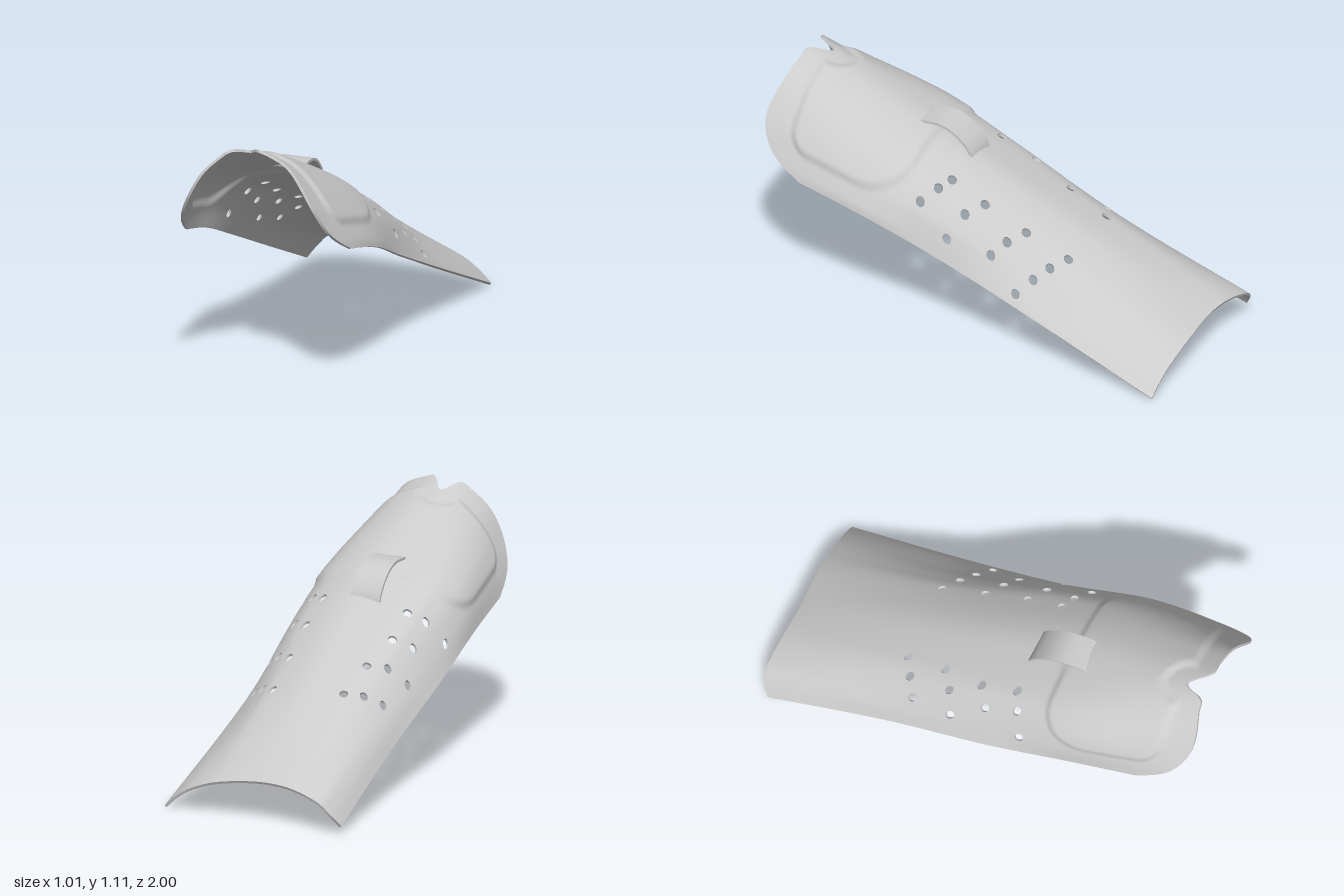
import * as THREE from 'three';
import { toCreasedNormals } from 'three/addons/utils/BufferGeometryUtils.js';

const NU = 96, NV = 190, THICK = 0.012, HOLE_R = 0.022;

// Arched cross-sections [x, y] of the outer face, from the back end to the front
const sections = [
  [-1, [[-.508, .015], [-.46, .09], [-.4, .145], [-.25, .183], [-.05, .18], [.12, .158], [.25, .11], [.33, .06], [.397, 0]]],
  [-.4, [[-.434, .24], [-.395, .32], [-.34, .385], [-.265, .443], [-.18, .472], [0, .49], [.17, .45], [.25, .4], [.32, .335], [.385, .27], [.413, .235]]],
  [.1, [[-.4, .435], [-.35, .54], [-.28, .64], [-.206, .695], [0, .742], [.12, .738], [.237, .7], [.312, .66], [.38, .585], [.412, .52], [.443, .432]]],
  [.5, [[-.35, .575], [-.33, .68], [-.27, .795], [-.15, .88], [.05, .925], [.2, .905], [.33, .84], [.43, .73], [.485, .63], [.497, .585]]],
  [1, [[-.275, .7], [-.245, .78], [-.2, .87], [-.12, 1.0], [0, 1.115], [.1, 1.135], [.2, 1.11], [.3, 1.05], [.41, .9], [.47, .78], [.505, .7]]],
].map(([z, pts]) => ({ z, curve: new THREE.SplineCurve(pts.map(p => new THREE.Vector2(...p))) }));
const stations = sections.map(s => s.z);

// Trim lines [across, z]: front rim with its notch and rounded corners, and back rim
const frontRim = [[0, .78], [.03, .87], [.07, .935], [.14, .985], [.2, 1], [.27, .995], [.36, .97], [.41, .955], [.46, .865],
  [.52, .95], [.57, .955], [.67, .97], [.8, 1], [.86, .995], [.93, .95], [.97, .88], [1, .78]];
const backRim = [[0, -.95], [.08, -.985], [.16, -1], [.45, -.985], [.7, -.993], [1, -.975]];

// Hole centres [x, z], seen from above
const holes = [
  [.17, -.41], [.25, -.36], [.317, -.32], [.39, -.27], [.206, -.215], [.285, -.167], [.355, -.12],
  [.233, -.02], [.317, .03], [.4, .075], [.238, .145], [.312, .175], [.38, .225],
  [-.19, -.4], [-.265, -.355], [-.34, -.31], [-.206, -.21], [-.28, -.16], [-.355, -.115],
  [-.22, -.02], [-.3, .03], [-.206, .14], [-.28, .18], [-.355, .225],
];

// Smooth interpolation through keys ks with values vs
function smooth(ks, vs, k) {
  const n = ks.length;
  let i = 0;
  while (i < n - 2 && k > ks[i + 1]) i++;
  const slope = j => {
    const a = Math.max(j - 1, 0), b = Math.min(j + 1, n - 1);
    return (vs[b] - vs[a]) / (ks[b] - ks[a]);
  };
  const h = ks[i + 1] - ks[i], t = (k - ks[i]) / h, t2 = t * t, t3 = t2 * t;
  return vs[i] * (2 * t3 - 3 * t2 + 1) + vs[i + 1] * (3 * t2 - 2 * t3)
    + h * (slope(i) * (t3 - 2 * t2 + t) + slope(i + 1) * (t3 - t2));
}
const column = (table, c) => table.map(r => r[c]);
const rimZ = (table, u) => smooth(column(table, 0), column(table, 1), u);

function surface(u, z) {
  const pts = sections.map(s => s.curve.getPointAt(THREE.MathUtils.clamp(u, 0, 1)));
  return new THREE.Vector3(smooth(stations, pts.map(p => p.x), z), smooth(stations, pts.map(p => p.y), z), z);
}

// Height of the raised front panel: a rounded rectangle with a bite under the notch
function panelHeight(u, z) {
  const r = z > .585 ? .1 : .24;
  const qx = Math.abs(u - .5) * 1.17 - .475 + r, qz = Math.abs(z - .585) - .285 + r;
  let d = Math.hypot(Math.max(qx, 0), Math.max(qz, 0)) + Math.min(Math.max(qx, qz), 0) - r;
  d = Math.max(d, .085 - Math.hypot((u - .46) * 1.2, z - .86));
  return .014 * (1 - THREE.MathUtils.smoothstep(d, -.03, .008));
}

function shellPoint(u, z) {
  const e = .004;
  const across = surface(Math.min(u + e, 1), z).sub(surface(Math.max(u - e, 0), z));
  const along = surface(u, z + e).sub(surface(u, z - e));
  const normal = along.cross(across).normalize();
  const outer = surface(u, z).addScaledVector(normal, panelHeight(u, z));
  return { u, z, outer, inner: outer.clone().addScaledVector(normal, -THICK) };
}

function shellGeometry() {
  const grid = [];
  for (let j = 0; j <= NV; j++) {
    for (let i = 0; i <= NU; i++) {
      const u = i / NU;
      grid.push(shellPoint(u, THREE.MathUtils.lerp(rimZ(backRim, u), rimZ(frontRim, u), j / NV)));
    }
  }
  const id = (i, j) => j * (NU + 1) + i;

  // Open a 4 x 4 block of cells for each hole and round its border to a circle
  const removed = new Set();
  for (const [x, z] of holes) {
    let best = 0, bestD = Infinity;
    grid.forEach((g, k) => {
      const d = Math.hypot(g.outer.x - x, g.outer.z - z);
      if (d < bestD) { bestD = d; best = k; }
    });
    const ci = best % (NU + 1), cj = Math.floor(best / (NU + 1)), c = grid[best];
    for (let a = -2; a <= 2; a++) {
      for (let b = -2; b <= 2; b++) {
        if (a < 2 && b < 2) removed.add(id(ci + a, cj + b));
        if (Math.max(Math.abs(a), Math.abs(b)) < 2) continue;
        const len = Math.hypot(a, b);
        grid[id(ci + a, cj + b)] = shellPoint(c.u + HOLE_R * a / len / 1.1, c.z + HOLE_R * b / len / 1.11);
      }
    }
  }

  const positions = [], index = [], N = grid.length;
  for (const side of ['outer', 'inner']) grid.forEach(g => positions.push(...g[side].toArray()));
  const kept = (i, j) => i >= 0 && j >= 0 && i < NU && j < NV && !removed.has(id(i, j));
  // Rim and hole walls have their own corners so that their edges stay sharp
  const wall = (p, q) => {
    const k = positions.length / 3;
    for (const v of [grid[q].outer, grid[p].outer, grid[p].inner, grid[q].inner]) positions.push(...v.toArray());
    index.push(k, k + 1, k + 2, k, k + 2, k + 3);
  };
  for (let j = 0; j < NV; j++) {
    for (let i = 0; i < NU; i++) {
      if (!kept(i, j)) continue;
      const a = id(i, j), b = id(i + 1, j), c = id(i + 1, j + 1), d = id(i, j + 1);
      index.push(a, d, b, b, d, c);
      index.push(N + a, N + b, N + d, N + b, N + c, N + d);
      if (!kept(i - 1, j)) wall(a, d);
      if (!kept(i, j + 1)) wall(d, c);
      if (!kept(i + 1, j)) wall(c, b);
      if (!kept(i, j - 1)) wall(b, a);
    }
  }
  const geo = new THREE.BufferGeometry();
  geo.setAttribute('position', new THREE.Float32BufferAttribute(positions, 3));
  geo.setIndex(index);
  geo.computeVertexNormals();
  return geo;
}

// Thin bowed band, drawn in side profile (z, y) and extruded across
function loopGeometry() {
  const path = new THREE.SplineCurve([[.135, .745], [.148, .78], [.18, .822], [.235, .866], [.3, .888], [.385, .886], [.41, .878]]
    .map(p => new THREE.Vector2(...p)));
  const upper = [], lower = [];
  for (let i = 0; i <= 24; i++) {
    const p = path.getPointAt(i / 24), t = path.getTangentAt(i / 24);
    upper.push(new THREE.Vector2(p.x - t.y * .006, p.y + t.x * .006));
    lower.unshift(new THREE.Vector2(p.x + t.y * .006, p.y - t.x * .006));
  }
  const geo = new THREE.ExtrudeGeometry(new THREE.Shape([...upper, ...lower]), { depth: .15, bevelEnabled: false });
  geo.rotateY(-Math.PI / 2).translate(.083, 0, 0);
  // Skew the band to follow the slightly turned ridge
  const pos = geo.attributes.position;
  for (let i = 0; i < pos.count; i++) pos.setX(i, pos.getX(i) + .09 * (pos.getZ(i) - .13));
  return toCreasedNormals(geo, .6);
}

export function createModel() {
  const group = new THREE.Group();
  group.name = 'limbGuard';
  const material = new THREE.MeshStandardMaterial({ color: 0xcccccc });
  const add = (name, geo) => {
    const mesh = new THREE.Mesh(geo, material);
    mesh.name = name;
    group.add(mesh);
  };
  add('perforatedShell', shellGeometry());
  add('strapLoop', loopGeometry());
  return group;
}
